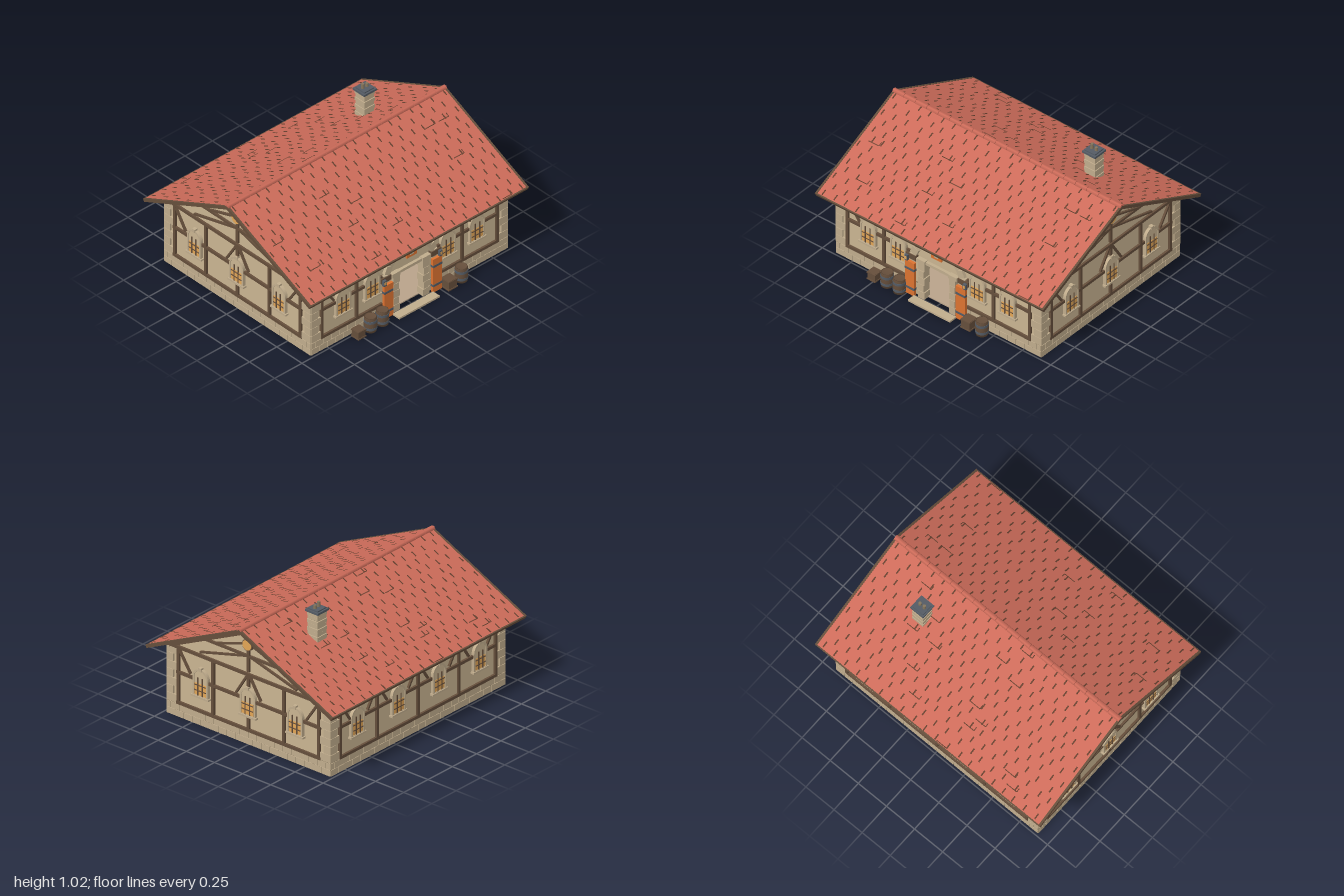
import * as THREE from 'three';
import { mergeGeometries } from 'three/addons/utils/BufferGeometryUtils.js';

const mat = (name, color) => {
  const m = new THREE.MeshStandardMaterial({ color });
  m.name = name;
  return m;
};
const M = {
  roof: mat('roof tile', 0xcc6b59), timber: mat('timber', 0x654e3b), plaster: mat('plaster', 0xc9b491),
  stone: mat('stone', 0xc0ac8c), mortar: mat('mortar', 0x85755c), plank: mat('floor board', 0xb8a289),
  orange: mat('orange paint', 0xdc7230), glass: mat('amber glass', 0xe2a555), iron: mat('iron', 0x545b64),
  joint: mat('tile joint', 0x66402f),
};

function add(parent, name, geo, material, x = 0, y = 0, z = 0) {
  const m = new THREE.Mesh(geo, material);
  m.name = name;
  m.position.set(x, y, z);
  parent.add(m);
  return m;
}
const boxAt = (w, h, d, x, y, z, rz = 0) => new THREE.BoxGeometry(w, h, d).rotateZ(rz).translate(x, y, z);
const box = (p, name, m, w, h, d, x, y, z) => add(p, name, new THREE.BoxGeometry(w, h, d), m, x, y, z);
const merged = (p, name, list, m) => add(p, name, mergeGeometries(list), m);
// straight timber between two points on a wall
function beam(x1, y1, x2, y2, w = 0.022, d = 0.024, z = 0.004) {
  return boxAt(Math.hypot(x2 - x1, y2 - y1), w, d, (x1 + x2) / 2, (y1 + y2) / 2, z, Math.atan2(y2 - y1, x2 - x1));
}
function group(parent, name) {
  const g = new THREE.Group();
  g.name = name;
  parent.add(g);
  return g;
}
let seed = 7;
const rand = () => (seed = (seed * 16807) % 2147483647) / 2147483647;

function archPath(P, hw, y0, y1) {
  const s = new P();
  s.moveTo(-hw, y0);
  s.lineTo(hw, y0);
  s.lineTo(hw, y1);
  s.absarc(0, y1, hw, 0, Math.PI, false);
  s.lineTo(-hw, y0);
  return s;
}

// arched window with sill, keystone and lattice
function windowUnit(parent, x) {
  const g = group(parent, 'window');
  g.position.set(x, 0.22, 0);
  const frame = archPath(THREE.Shape, 0.068, 0, 0.14);
  frame.holes.push(archPath(THREE.Path, 0.054, 0.008, 0.14));
  add(g, 'windowFrame', new THREE.ExtrudeGeometry(frame, { depth: 0.023, bevelEnabled: false, curveSegments: 10 }), M.stone);
  add(g, 'windowHead', new THREE.ExtrudeGeometry(archPath(THREE.Shape, 0.055, 0.005, 0.14), { depth: 0.018, bevelEnabled: false }), M.plaster);
  box(g, 'windowPane', M.glass, 0.102, 0.088, 0.004, 0, 0.054, 0.0185);
  const bars = [-0.02, 0.02].map(u => boxAt(0.008, 0.135, 0.005, u, 0.076, 0.022));
  bars.push(boxAt(0.102, 0.006, 0.005, 0, 0.045, 0.022), boxAt(0.102, 0.006, 0.005, 0, 0.085, 0.022));
  merged(g, 'windowBars', bars, M.timber);
  box(g, 'windowSill', M.stone, 0.155, 0.014, 0.035, 0, -0.002, 0.012);
  box(g, 'keystone', M.stone, 0.026, 0.026, 0.032, 0, 0.207, 0.012);
}

// two courses of foundation blocks between two points
function foundation(parent, a, b) {
  const list = [];
  for (let r = 0; r < 2; r++) {
    const n = Math.max(2, Math.round((b - a) / 0.075)), w = (b - a) / n;
    for (let i = 0; i <= n; i++) {
      const l = Math.max(a, a + (i - (r ? 0.5 : 0)) * w), e = Math.min(b, a + (i + (r ? 0.5 : 1)) * w);
      if (e - l > 0.01) list.push(boxAt(e - l - 0.003, 0.046, 0.02, (l + e) / 2, 0.0245 + r * 0.049, 0.002));
    }
  }
  merged(parent, 'foundationStones', list, M.stone);
  box(parent, 'foundationMortar', M.mortar, b - a, 0.096, 0.016, (a + b) / 2, 0.05, 0);
}

// alternating corner stones
function quoins(parent, half) {
  const list = [];
  for (const s of [-1, 1]) {
    for (let i = 0; i < 7; i++) {
      const w = i % 2 ? 0.06 : 0.09;
      list.push(boxAt(w, 0.058, 0.024, s * (half + 0.008 - w / 2), 0.13 + i * 0.061, 0));
    }
    box(parent, 'cornerMortar', M.mortar, 0.054, 0.42, 0.014, s * (half - 0.023), 0.31, 0);
  }
  merged(parent, 'cornerStones', list, M.stone);
}

function sideWall(root, s) {
  const g = group(root, s > 0 ? 'leftWall' : 'rightWall');
  g.position.x = 0.89 * s;
  g.rotation.y = s * Math.PI / 2;
  const sh = new THREE.Shape([[-0.72, 0], [0.72, 0], [0.72, 0.54], [0, 0.882], [-0.72, 0.54]].map(p => new THREE.Vector2(...p)));
  add(g, 'gablePlaster', new THREE.ExtrudeGeometry(sh, { depth: 0.03, bevelEnabled: false }), M.plaster, 0, 0, -0.03);
  foundation(g, -0.728, 0.728);
  quoins(g, 0.72);
  const t = [beam(-0.64, 0.108, 0.64, 0.108), beam(-0.64, 0.338, 0.64, 0.338), beam(-0.72, 0.527, 0.72, 0.527),
    beam(-0.38, 0.667, 0.38, 0.667, 0.018), beam(0, 0.1, 0, 0.53), beam(0, 0.55, 0, 0.86)];
  for (const m of [-1, 1]) t.push(beam(m * 0.315, 0.1, m * 0.315, 0.53), beam(m * 0.625, 0.1, m * 0.625, 0.53),
    beam(m * 0.615, 0.51, m * 0.515, 0.36, 0.015), beam(m * 0.01, 0.52, m * 0.11, 0.36, 0.015),
    beam(m * 0.43, 0.555, m * 0.02, 0.665, 0.014), beam(m * 0.3, 0.665, 0, 0.765, 0.014),
    beam(m * 0.7, 0.518, 0, 0.848, 0.018));
  merged(g, 'timberFrame', t, M.timber);
  [-0.42, 0, 0.42].forEach(x => windowUnit(g, x));
  add(g, 'gableRing', new THREE.CylinderGeometry(0.044, 0.044, 0.03, 20).rotateX(Math.PI / 2), M.timber, 0, 0.757, 0.01);
  add(g, 'gableMedallion', new THREE.CylinderGeometry(0.038, 0.038, 0.006, 20).rotateX(Math.PI / 2), M.glass, 0, 0.757, 0.026);
}

function backWall(root) {
  const g = group(root, 'backWall');
  g.position.z = -0.72;
  g.rotation.y = Math.PI;
  box(g, 'backPlaster', M.plaster, 1.78, 0.53, 0.03, 0, 0.265, -0.015);
  foundation(g, -0.898, 0.898);
  quoins(g, 0.89);
  const t = [0.108, 0.338, 0.515].map(y => beam(-0.81, y, 0.81, y));
  for (const x of [-0.8, -0.42, 0, 0.42, 0.8]) {
    t.push(beam(x, 0.1, x, 0.52));
    if (x < 0.7) t.push(beam(x + 0.01, 0.5, x + 0.1, 0.36, 0.015));
    if (x > -0.7) t.push(beam(x - 0.01, 0.5, x - 0.1, 0.36, 0.015));
  }
  merged(g, 'timberFrame', t, M.timber);
  [-0.63, -0.21, 0.21, 0.63].forEach(x => windowUnit(g, x));
}

function frontWall(root) {
  const g = group(root, 'frontWall');
  g.position.z = 0.72;
  const pts = [[-0.89, 0], [-0.13, 0], [-0.13, 0.3], [0.13, 0.3], [0.13, 0], [0.89, 0], [0.89, 0.53], [-0.89, 0.53]];
  const sh = new THREE.Shape(pts.map(p => new THREE.Vector2(...p)));
  add(g, 'frontPlaster', new THREE.ExtrudeGeometry(sh, { depth: 0.03, bevelEnabled: false }), M.plaster, 0, 0, -0.03);
  quoins(g, 0.89);
  const t = [beam(-0.78, 0.49, -0.69, 0.36, 0.015), beam(0.5, 0.49, 0.58, 0.36, 0.015), beam(-0.81, 0.515, 0.81, 0.515)];
  for (const s of [-1, 1]) {
    foundation(g, s > 0 ? 0.17 : -0.898, s > 0 ? 0.898 : -0.17);
    for (const x of [0.8, 0.48]) t.push(beam(s * x, 0.1, s * x, 0.51));
    t.push(beam(s * 0.25, 0.336, s * 0.81, 0.336), beam(s * 0.25, 0.108, s * 0.81, 0.108));
    windowUnit(g, s * 0.345);
    windowUnit(g, s * 0.61);
    // doorway pillars, open door leaves and lanterns
    const pillar = [0, 1, 2, 3, 4].map(i => boxAt(i % 2 ? 0.045 : 0.056, 0.056, 0.06, s * 0.135, 0.029 + i * 0.059, 0));
    pillar.push(boxAt(0.075, 0.03, 0.065, s * 0.14, 0.31, 0));
    merged(g, 'doorPillar', pillar, M.stone);
    box(g, 'doorLeaf', M.orange, 0.08, 0.275, 0.022, s * 0.222, 0.142, 0.037);
    for (const y of [0.06, 0.22]) box(g, 'doorHinge', M.iron, 0.082, 0.018, 0.026, s * 0.222, y, 0.037);
    box(g, 'doorPost', M.timber, 0.09, 0.04, 0.03, s * 0.228, 0.312, 0.015);
    box(g, 'lantern', M.iron, 0.026, 0.045, 0.02, s * 0.255, 0.3, 0.038);
    box(g, 'lanternLight', M.glass, 0.014, 0.022, 0.004, s * 0.255, 0.3, 0.048);
  }
  merged(g, 'timberFrame', t, M.timber);
  const arch = [];
  for (let i = 0; i < 11; i++) {
    const a = (i + 0.5) / 11 * Math.PI;
    arch.push(new THREE.BoxGeometry(0.055, 0.059, 0.035).rotateZ(a).translate(Math.cos(a) * 0.222, 0.275 + Math.sin(a) * 0.222, 0.006));
  }
  merged(g, 'archStones', arch, M.stone);
  box(g, 'lintel', M.stone, 0.25, 0.022, 0.045, 0, 0.308, 0);
  box(g, 'hangingSign', M.orange, 0.092, 0.1, 0.012, 0, 0.447, 0.028);
  box(g, 'signEmblem', M.stone, 0.034, 0.036, 0.004, 0, 0.433, 0.035);
  box(g, 'doorStep', M.stone, 0.37, 0.014, 0.065, 0, 0.007, 0.078);
}

// one roof slope: deck, tiles, joints and verge boards
function roofSlope(root, turn) {
  const pivot = group(root, turn ? 'backRoof' : 'frontRoof');
  pivot.rotation.y = turn;
  const g = group(pivot, 'slope');
  g.position.y = 0.903;
  g.rotation.x = Math.atan2(0.39, 0.83);
  const L = 0.915, n = 13, p = L / n, slits = [];
  box(g, 'roofDeck', M.timber, 1.97, 0.008, L, 0, -0.019, L / 2);
  box(g, 'roofTiles', M.roof, 1.976, 0.014, L, 0, -0.008, L / 2);
  for (let i = 0; i < n; i++) {
    const z = (i + 0.5) * p;
    for (let x = -0.95 + (i % 2) * 0.05; x < 0.97; x += 0.1)
      slits.push(boxAt(0.01, 0.002, p * 0.62, x + (rand() - 0.5) * 0.03, -0.001, z + (rand() - 0.5) * 0.012));
    // a few slipped tiles
    for (let k = 0; k < 2; k++) if (rand() < 0.6) {
      const x = (rand() - 0.5) * 1.75;
      slits.push(boxAt(0.09, 0.002, 0.006, x, -0.001, z + p * 0.3), boxAt(0.006, 0.002, 0.03, x + 0.045, -0.001, z + p * 0.3 - 0.015));
    }
  }
  merged(g, 'tileJoints', slits, M.joint);
  for (const s of [-1, 1]) box(g, 'vergeBoard', M.timber, 0.016, 0.024, L + 0.004, s * 0.992, -0.011, L / 2);
  box(g, 'eaveBoard', M.timber, 1.99, 0.024, 0.01, 0, -0.012, L - 0.002);
}

function barrel(root, x) {
  const g = group(root, 'barrel');
  g.position.set(x, 0, 0.783);
  const prof = [[0, 0], [0.043, 0], [0.046, 0.035], [0.046, 0.08], [0.043, 0.115], [0.038, 0.115], [0.037, 0.108], [0, 0.108]];
  add(g, 'barrelBody', new THREE.LatheGeometry(prof.map(q => new THREE.Vector2(...q)), 14), M.timber);
  for (const y of [0.03, 0.085]) add(g, 'barrelHoop', new THREE.CylinderGeometry(0.0475, 0.0475, 0.019, 14), M.iron, 0, y, 0);
}

function chimney(root) {
  const g = group(root, 'chimney');
  g.position.set(0.52, 0, -0.28);
  box(g, 'chimneyMortar', M.mortar, 0.082, 0.28, 0.082, 0, 0.82, 0);
  const c = [];
  for (let i = 0; i < 9; i++) c.push(boxAt(i % 2 ? 0.09 : 0.097, 0.026, i % 2 ? 0.09 : 0.097, 0, 0.715 + i * 0.029, 0));
  merged(g, 'chimneyStones', c, M.stone);
  box(g, 'chimneyCap', M.iron, 0.115, 0.016, 0.115, 0, 0.968, 0);
  box(g, 'chimneyCapTop', M.iron, 0.09, 0.01, 0.09, 0, 0.98, 0);
  for (const [x, top] of [[-0.018, 1.022], [0.02, 1.01]])
    add(g, 'chimneyPot', new THREE.CylinderGeometry(0.011, 0.013, top - 0.98, 10), M.mortar, x, (top + 0.98) / 2, 0);
}

export function createModel() {
  const root = new THREE.Group();
  root.name = 'timberHall';
  frontWall(root);
  backWall(root);
  for (const s of [-1, 1]) sideWall(root, s);
  roofSlope(root, 0);
  roofSlope(root, Math.PI);
  const caps = [];
  for (let i = 0; i < 20; i++)
    caps.push(new THREE.CylinderGeometry(0.02, 0.02, 0.097, 6).rotateZ(Math.PI / 2).translate(-0.95 + i * 0.1, 0.897, 0));
  merged(root, 'ridgeTiles', caps, M.roof);
  chimney(root);
  // floor planks and the counter inside
  const planks = [];
  for (let i = 0; i < 14; i++) planks.push(boxAt(1.78, 0.008, 0.099, 0, 0.004, -0.661 + i * 0.1015));
  merged(root, 'floorPlanks', planks, M.plank);
  box(root, 'floorBase', M.plank, 1.78, 0.004, 1.42, 0, 0.009, 0);
  box(root, 'counter', M.timber, 0.24, 0.16, 0.08, 0, 0.08, -0.2);
  // barrels and crates beside the door
  [-0.405, -0.297, 0.425].forEach(x => barrel(root, x));
  [[-0.515, 0.066], [0.312, 0.076]].forEach(([x, s]) => {
    box(root, 'crate', M.timber, s, s, s, x, s / 2, 0.785);
    for (const y of [0.1, 0.9]) box(root, 'crateRim', M.timber, s + 0.008, 0.01, s + 0.008, x, s * y, 0.785);
  });
  return root;
}
